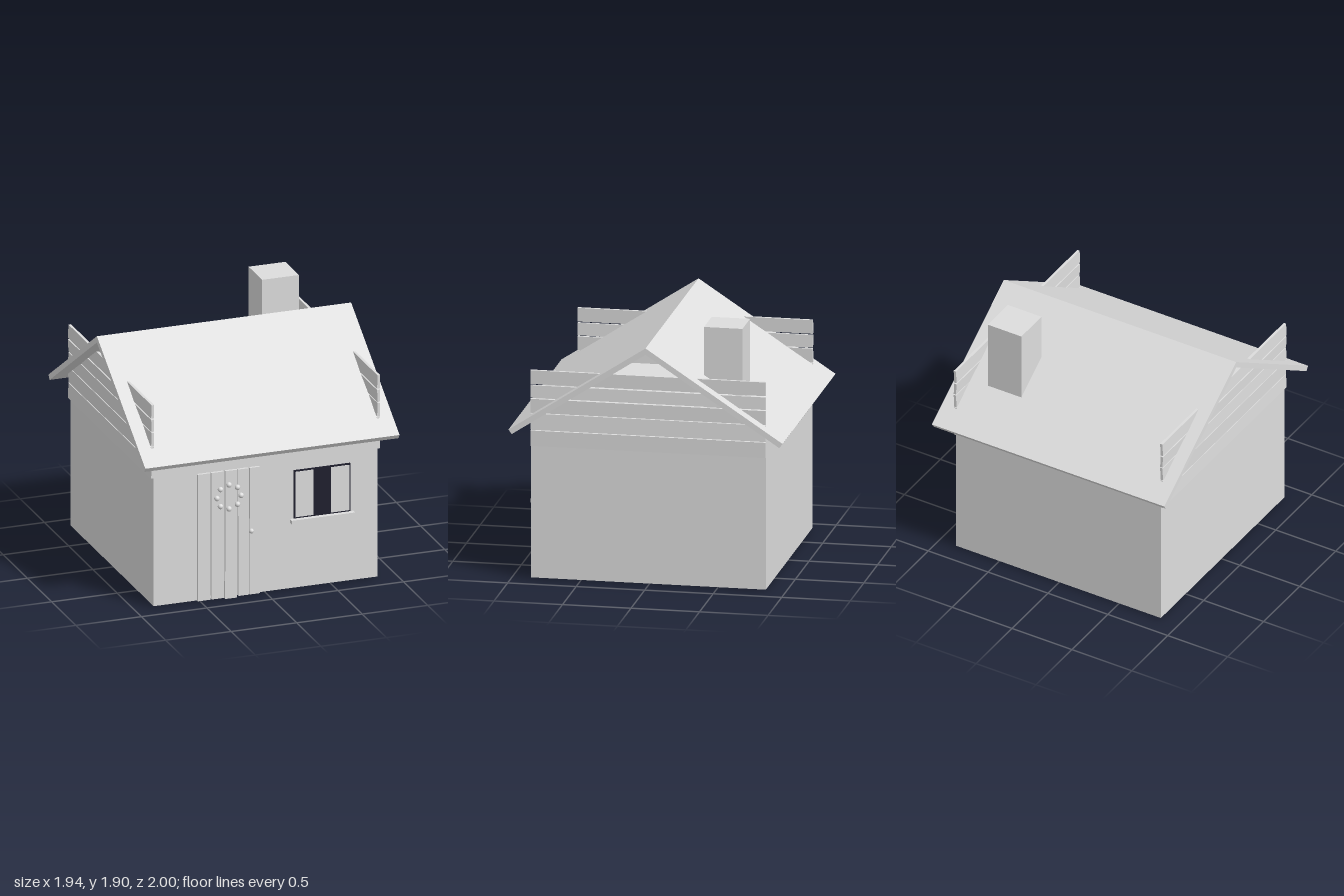
import * as THREE from 'three';

export function createModel() {
  const model = new THREE.Group();
  const pale = new THREE.MeshStandardMaterial({ color: 0xdddddd });
  pale.name = 'paleGrey';
  const dark = new THREE.MeshStandardMaterial({ color: 0x1f1f2e });
  dark.name = 'darkGlass';

  function add(name, geometry, x, y, z, material = pale, parent = model) {
    const mesh = new THREE.Mesh(geometry, material);
    mesh.name = name;
    mesh.position.set(x, y, z);
    parent.add(mesh);
    return mesh;
  }
  // Box given by its extents on each axis
  function box(name, [x0, x1], [y0, y1], [z0, z1], material, parent) {
    return add(name, new THREE.BoxGeometry(x1 - x0, y1 - y0, z1 - z0),
      (x0 + x1) / 2, (y0 + y1) / 2, (z0 + z1) / 2, material, parent);
  }
  function group(name) {
    const g = new THREE.Group();
    g.name = name;
    model.add(g);
    return g;
  }

  // Walls and chimney
  box('walls', [-0.855, 0.855], [0.01, 1.165], [-0.855, 0.86]);
  box('chimney', [0.43, 0.71], [1.2, 1.895], [-0.655, -0.375]);

  // Roof: chevron section extruded along x
  const section = new THREE.Shape([
    [1, 1.13], [0, 1.785], [-1, 1.13], [-0.977, 1.097], [0, 1.737], [0.977, 1.097],
  ].map(([z, y]) => new THREE.Vector2(z, y)));
  const roof = new THREE.ExtrudeGeometry(section, { depth: 1.94, bevelEnabled: false });
  roof.translate(0, 0, -0.97);
  roof.rotateY(Math.PI / 2);
  add('roof', roof, 0, 0, 0);

  // Gable boards, running past the roof slopes on both sides
  const rows = [[0.99, 1.105], [1.112, 1.23], [1.236, 1.34], [1.348, 1.44], [1.45, 1.552]];
  for (const side of [-1, 1]) {
    const boards = group(side > 0 ? 'leftGableBoards' : 'rightGableBoards');
    rows.forEach((row, i) => {
      const x = side * 0.862;
      const board = box('gableBoard', [x - 0.01, x + 0.01], row, [-0.857, 0.86], pale, boards);
      board.rotation.z = (i % 2 ? 1 : -1) * 0.03;
    });
  }

  // Plank door with knob and wreath
  const door = group('door');
  const planks = [[-0.525, -0.43], [-0.42, -0.325], [-0.315, -0.224], [-0.216, -0.137], [-0.129, -0.05]];
  planks.forEach((span, i) => {
    const plank = box('doorPlank', span, [i === 2 ? 0 : 0.01, 0.98], [0.84, 0.88], pale, door);
    plank.rotation.z = [0, 0.002, -0.003, 0.005, -0.001][i];
  });
  const bead = new THREE.SphereGeometry(0.02, 16, 12);
  add('doorKnob', new THREE.SphereGeometry(0.018, 16, 12), -0.12, 0.5, 0.89, pale, door);
  const wreath = group('wreath');
  for (let i = 0; i < 8; i++) {
    const a = (i * Math.PI) / 4;
    add('wreathBall', bead, -0.29 + 0.092 * Math.cos(a), 0.783 + 0.092 * Math.sin(a), 0.888, pale, wreath);
  }

  // Crooked sign above the door
  const sign = add('sign', new THREE.BoxGeometry(0.34, 0.12, 0.018), -0.287, 1.116, 0.883);
  sign.rotation.z = -0.087;

  // Window: dark pane, curtains and sill
  const win = group('window');
  box('pane', [0.213, 0.642], [0.543, 0.912], [0.862, 0.87], dark, win);
  box('curtain', [0.222, 0.36], [0.553, 0.9], [0.868, 0.874], pale, win);
  box('curtain', [0.493, 0.633], [0.553, 0.9], [0.868, 0.874], pale, win);
  box('sill', [0.185, 0.67], [0.512, 0.54], [0.85, 0.9], pale, win);

  return model;
}
